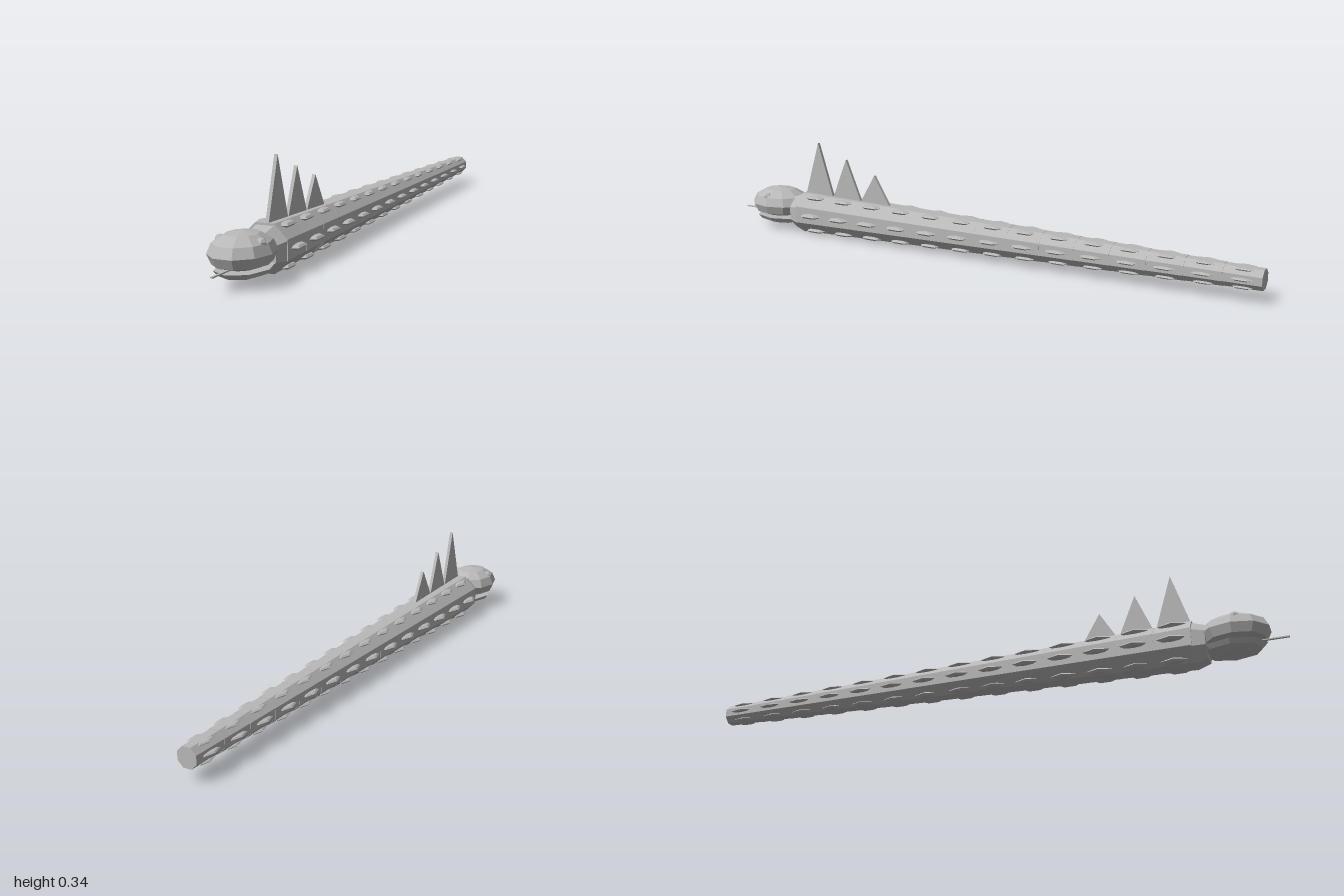
import * as THREE from 'three';

export function createModel() {
  const model = new THREE.Group();
  model.name = 'serpent';
  const skin = new THREE.MeshStandardMaterial({ color: 0xb8b8b8, flatShading: true });
  skin.name = 'grey skin';

  const add = (name, geometry, x, y, z, parent = model) => {
    const mesh = new THREE.Mesh(geometry, skin);
    mesh.name = name;
    mesh.position.set(x, y, z);
    parent.add(mesh);
    return mesh;
  };
  // Low-poly ellipsoid whose underside can be flattened at a given height
  const ellipsoid = (rx, ry, rz, w, h, floor = -Infinity, ceiling = Infinity) => {
    const g = new THREE.SphereGeometry(1, w, h).scale(rx, ry, rz);
    const p = g.attributes.position;
    for (let i = 0; i < p.count; i++) {
      p.setY(i, Math.min(ceiling, Math.max(floor, p.getY(i))));
    }
    return g;
  };

  // Tapering body of overlapping octagonal segments with six rows of scales
  const midY = 0.083, count = 14, pitch = 0.122, firstZ = 0.645;
  for (let i = 0; i < count; i++) {
    const t = i / (count - 1);
    const r = 0.079 + (0.037 - 0.079) * t;
    const z = firstZ - i * pitch;
    const segment = new THREE.Group();
    segment.name = 'bodySegment' + (i + 1);
    segment.position.set(0, midY, z);
    model.add(segment);
    const body = new THREE.CylinderGeometry(r, r * 0.95, 0.126, 8)
      .rotateY(Math.PI / 8).rotateX(Math.PI / 2);
    add('segmentBody', body, 0, 0, 0, segment);
    const s = 1 - 0.4 * t;
    const scaleShape = ellipsoid(0.025 * s, 0.009 * s, 0.048 - 0.008 * t, 5, 4);
    for (let k = 0; k < 6; k++) {
      const a = k * Math.PI / 3;
      const c = r * 0.9;
      add('scale', scaleShape, Math.cos(a) * c, Math.sin(a) * c, 0, segment);
    }
  }

  // Neck joining the body to the head
  const neck = new THREE.CylinderGeometry(0.062, 0.077, 0.045, 8)
    .rotateY(Math.PI / 8).rotateX(Math.PI / 2);
  add('neck', neck, 0, midY - 0.004, 0.727);

  // Head, lower jaw and eyes
  add('head', ellipsoid(0.093, 0.06, 0.115, 10, 6, -0.043), 0, 0.101, 0.835);
  add('lowerJaw', ellipsoid(0.078, 0.029, 0.108, 8, 6, -Infinity, 0), 0, 0.055, 0.825);
  for (const side of [-1, 1]) {
    add(side > 0 ? 'leftEye' : 'rightEye', new THREE.SphereGeometry(0.017, 6, 5), side * 0.064, 0.13, 0.846);
  }

  // Thin tongue
  add('tongue', new THREE.BoxGeometry(0.008, 0.004, 0.13), 0, 0.065, 0.935);

  // Flat triangular fins along the front of the back
  [0.345, 0.295, 0.25].forEach((top, i) => {
    const shape = new THREE.Shape();
    shape.moveTo(-0.062, 0);
    shape.lineTo(0.062, 0);
    shape.lineTo(0, top - 0.145);
    shape.closePath();
    const fin = new THREE.ExtrudeGeometry(shape, { depth: 0.011, bevelEnabled: false })
      .rotateY(Math.PI / 2);
    add('backFin' + (i + 1), fin, 0, 0.145, firstZ - i * pitch);
  });

  return model;
}
